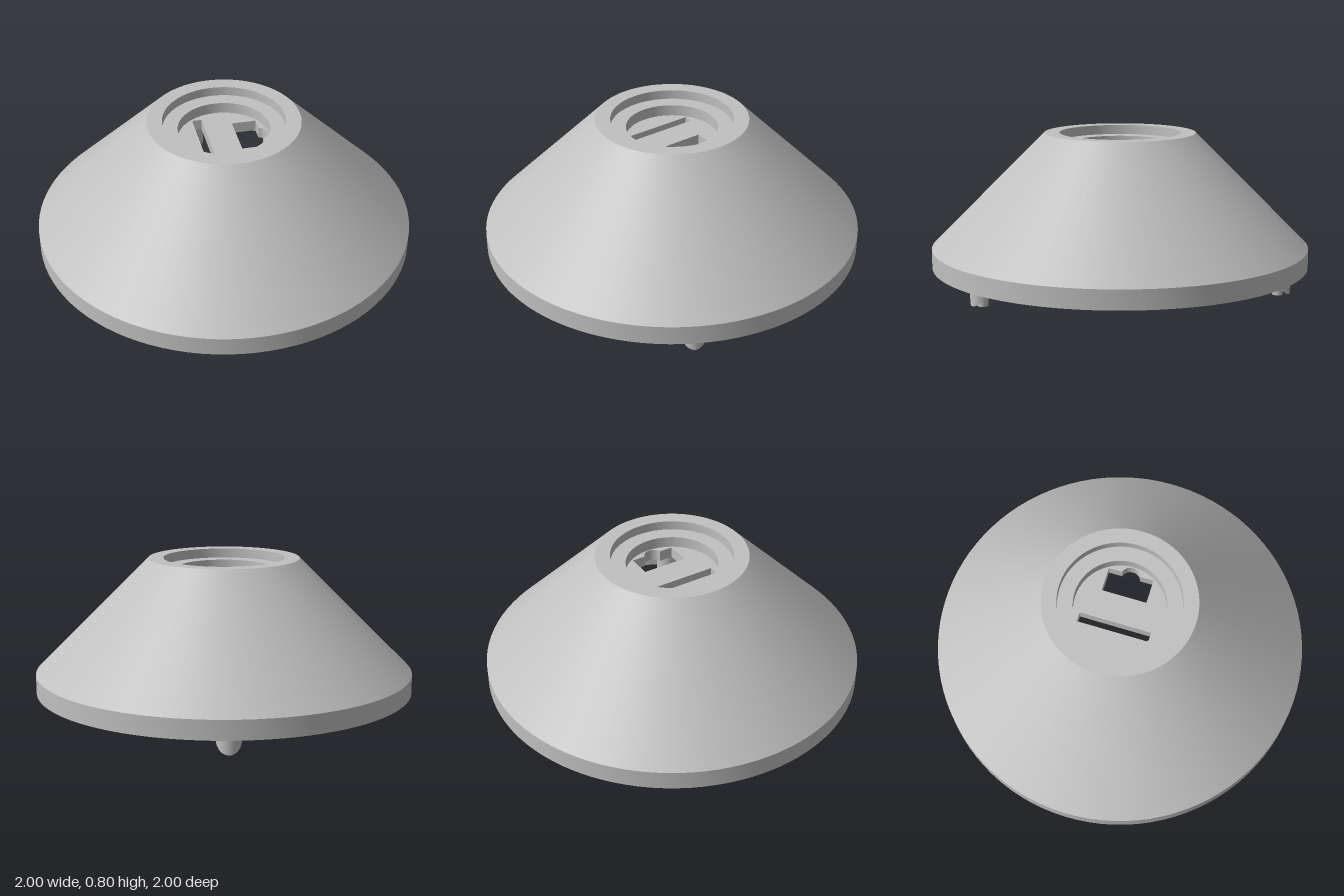
import * as THREE from 'three';
import { toCreasedNormals } from 'three/addons/utils/BufferGeometryUtils.js';

const grey = new THREE.MeshStandardMaterial({ color: 0xc0c0c0 });
grey.name = 'grey';

const CREASE = 0.5;

function part(name, geometry, parent) {
  const mesh = new THREE.Mesh(toCreasedNormals(geometry, CREASE), grey);
  mesh.name = name;
  parent.add(mesh);
  return mesh;
}

export function createModel() {
  const model = new THREE.Group();
  model.name = 'conicalBase';

  // Hollow cone: outer wall, stepped recess, ceiling, inner wall, bottom rim
  const profile = [
    [1, 0.1], [1, 0.2], [0.4, 0.8], [0.32, 0.8], [0.32, 0.75], [0.24, 0.75],
    [0.24, 0.63], [0.53, 0.63], [0.97, 0.19], [0.97, 0.1], [1, 0.1],
  ].map(([r, y]) => new THREE.Vector2(r, y));
  part('coneShell', new THREE.LatheGeometry(profile, 96), model);

  // Recess floor with a narrow slot and a notched window
  const floor = new THREE.Shape();
  floor.absarc(0, 0, 0.24, 0, Math.PI * 2);
  const slot = new THREE.Path();
  slot.moveTo(-0.13, -0.19);
  slot.lineTo(-0.13, 0.19);
  slot.lineTo(-0.08, 0.19);
  slot.lineTo(-0.08, -0.19);
  slot.closePath();
  const notched = new THREE.Path();
  notched.moveTo(0.07, -0.12);
  notched.lineTo(0.07, 0.12);
  notched.lineTo(0.198, 0.12);
  notched.lineTo(0.198, 0.048);
  notched.absarc(0.185, 0, 0.05, 1.3, -1.3, true);
  notched.lineTo(0.198, -0.048);
  notched.lineTo(0.198, -0.12);
  notched.closePath();
  floor.holes.push(slot, notched);
  const plate = new THREE.ExtrudeGeometry(floor, { depth: 0.06, bevelEnabled: false, curveSegments: 48 });
  plate.rotateX(-Math.PI / 2);
  plate.translate(0, 0.63, 0);
  part('recessFloor', plate, model);

  // Three posts inside the wall, cut at a slant, each with a locating pin
  for (let i = 0; i < 3; i++) {
    const leg = new THREE.Group();
    leg.name = 'leg' + (i + 1);
    leg.rotation.y = Math.PI / 2 + (i * Math.PI * 2) / 3;

    const post = new THREE.CylinderGeometry(0.0625, 0.0625, 0.24, 32);
    const p = post.attributes.position;
    for (let k = 0; k < p.count; k++) p.setY(k, p.getY(k) - p.getX(k));
    post.translate(0.87, 0.19, 0);
    part('post', post, leg);

    const pin = new THREE.CylinderGeometry(0.027, 0.027, 0.14, 24);
    pin.translate(0.87, 0.07, 0);
    part('pin', pin, leg);
    model.add(leg);
  }

  return model;
}
